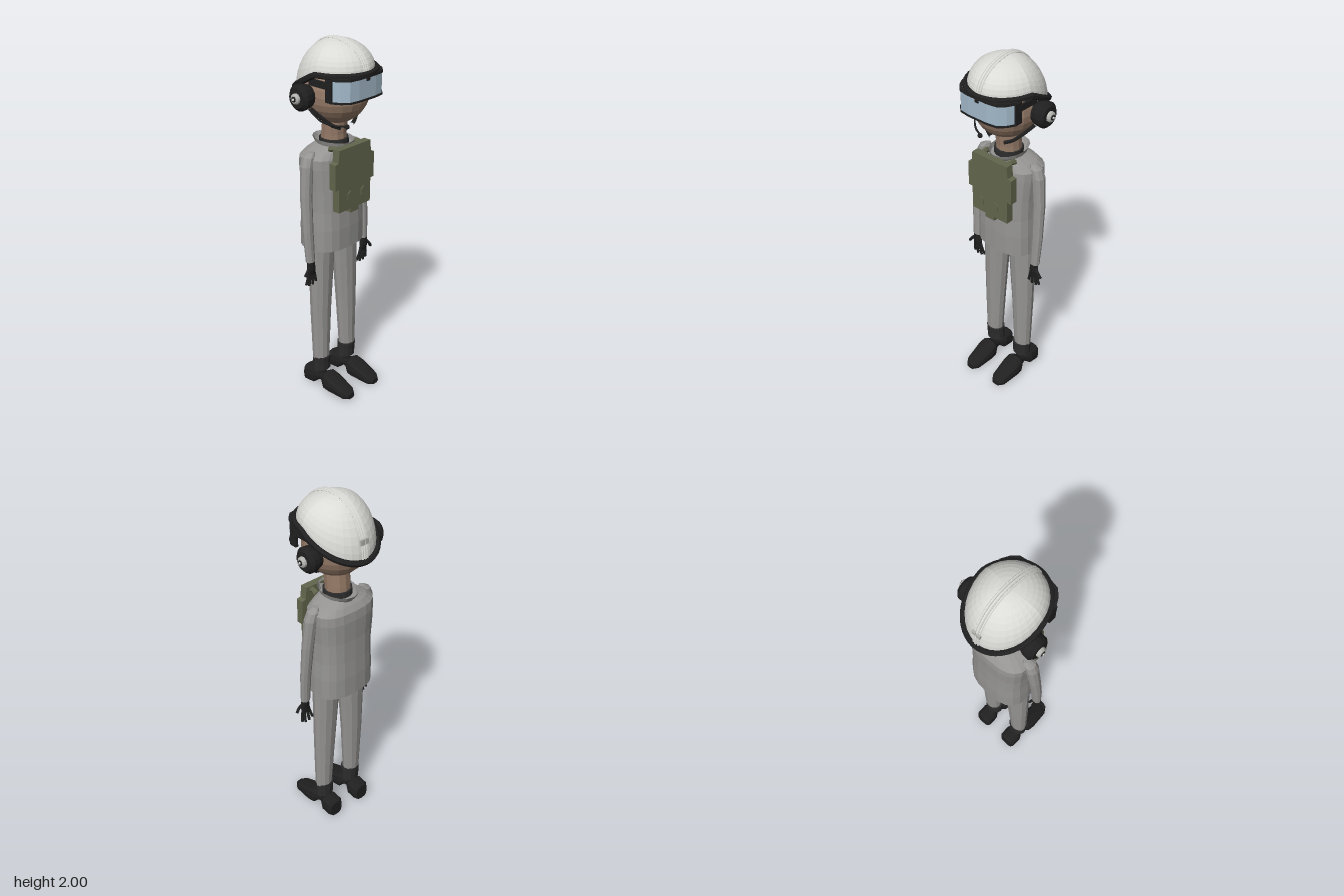
import * as THREE from 'three';

const mat = (name, color, side = THREE.FrontSide) => {
  const m = new THREE.MeshStandardMaterial({ color, side });
  m.name = name;
  return m;
};

// Facet a geometry so every polygon reads as a flat panel
function facet(g) {
  const out = g.index ? g.toNonIndexed() : g;
  out.computeVertexNormals();
  return out;
}

// Skin over elliptical rings [y, cx, cz, rx, rz], lowest first
function loft(rings, { sides = 12, pow = 1, caps = true } = {}) {
  const pos = [], idx = [];
  const bend = (v) => Math.sign(v) * Math.abs(v) ** pow;
  for (const [y, cx, cz, rx, rz] of rings) {
    for (let i = 0; i < sides; i++) {
      const a = (i / sides) * Math.PI * 2;
      pos.push(cx + rx * bend(Math.cos(a)), y, cz + rz * bend(Math.sin(a)));
    }
  }
  for (let r = 0; r < rings.length - 1; r++) {
    for (let i = 0; i < sides; i++) {
      const j = (i + 1) % sides, a = r * sides + i, b = r * sides + j;
      idx.push(a, a + sides, b, b, a + sides, b + sides);
    }
  }
  if (caps) {
    const last = (rings.length - 1) * sides;
    for (let i = 1; i < sides - 1; i++) {
      idx.push(0, i, i + 1, last, last + i + 1, last + i);
    }
  }
  const g = new THREE.BufferGeometry();
  g.setAttribute('position', new THREE.Float32BufferAttribute(pos, 3));
  g.setIndex(idx);
  return facet(g);
}

const V = (p) => new THREE.Vector3(...p);
const tube = (pts, r, seg = 10, closed = false) =>
  facet(new THREE.TubeGeometry(new THREE.CatmullRomCurve3(pts.map(V), closed), seg, r, 6, closed));

// Flat outline extruded along z
function plate(outline, depth, z) {
  const s = new THREE.Shape(outline.map(([x, y]) => new THREE.Vector2(x, y)));
  return new THREE.ExtrudeGeometry(s, { depth, bevelEnabled: false }).translate(0, 0, z);
}

// Curved horizontal band following an x/z path, from y0 to y1
function band(path, thick, y0, y1) {
  const inner = path.map(([x, z]) => [x * (1 - thick * 4), z - thick]).reverse();
  return plate([...path, ...inner], y1 - y0, 0).rotateX(Math.PI / 2).translate(0, y1, 0);
}

// Helmet edge: level in front, dropping toward the nape
const rimY = (z) => (z > 0.04 ? 1.845 : 1.845 - (0.04 - z) * 0.54);
const domePoint = (a, e, grow = 0) => {
  const x = (0.185 + grow) * Math.sin(a), z = (0.208 + grow) * Math.cos(a), y = rimY(z);
  return [x * Math.cos(e), y + (1.99 + grow - y) * Math.sin(e), z * Math.cos(e)];
};

function dome() {
  const n = 32, rows = 10, pos = [], idx = [];
  for (let r = 0; r <= rows; r++) {
    for (let i = 0; i < n; i++) pos.push(...domePoint((i / n) * Math.PI * 2, (r / rows) * Math.PI / 2));
  }
  for (let r = 0; r < rows; r++) {
    for (let i = 0; i < n; i++) {
      const j = (i + 1) % n, a = r * n + i, b = r * n + j;
      idx.push(a, b, b + n);
      if (r < rows - 1) idx.push(a, b + n, a + n);
    }
  }
  const g = new THREE.BufferGeometry();
  g.setAttribute('position', new THREE.Float32BufferAttribute(pos, 3));
  g.setIndex(idx);
  return facet(g);
}

export function createModel() {
  const model = new THREE.Group();
  const suit = mat('suit grey', 0x959492, THREE.DoubleSide);
  const shell = mat('helmet white', 0xdadad6, THREE.DoubleSide);
  const black = mat('black rubber', 0x202020);
  const cuff = mat('dark cuff', 0x2c2c2c);
  const skin = mat('skin', 0x957a67);
  const olive = mat('vest olive', 0x62664c);
  const glass = mat('visor blue', 0xa3b9c9);
  const metal = mat('hub grey', 0xb4b4b0);
  const add = (name, geo, m, parent = model) => {
    const mesh = new THREE.Mesh(geo, m);
    mesh.name = name;
    parent.add(mesh);
    return mesh;
  };

  // Jacket, collar and neck
  add('jacket', loft([
    [0.88, 0, -0.025, 0.175, 0.13], [1.0, 0, -0.025, 0.175, 0.13], [1.1, 0, -0.025, 0.17, 0.125],
    [1.22, 0, -0.025, 0.172, 0.122], [1.34, 0, -0.03, 0.182, 0.12], [1.39, 0, -0.03, 0.182, 0.115],
    [1.42, 0, -0.025, 0.145, 0.1], [1.445, 0, -0.015, 0.085, 0.085],
  ], { sides: 20, pow: 0.75 }), suit);
  add('collar', loft([[1.425, 0, -0.012, 0.075, 0.092], [1.45, 0, -0.012, 0.086, 0.112],
    [1.47, 0, -0.014, 0.092, 0.122]], { sides: 16, caps: false }), suit);
  add('undershirtNeck', loft([[1.42, 0, -0.01, 0.076, 0.08], [1.475, 0, -0.01, 0.076, 0.076]], { sides: 14 }), cuff);
  add('neck', loft([[1.42, 0, -0.012, 0.07, 0.068], [1.5, 0, -0.01, 0.068, 0.066],
    [1.6, 0, 0, 0.068, 0.066]]), skin);

  // Head and helmet
  add('head', facet(new THREE.SphereGeometry(1, 20, 14).scale(0.168, 0.165, 0.172).translate(0, 1.722, 0.006)), skin);
  add('helmetShell', dome(), shell);
  const rim = [];
  for (let i = 0; i < 32; i++) {
    const a = (i / 32) * Math.PI * 2, z = 0.215 * Math.cos(a);
    rim.push([0.19 * Math.sin(a), rimY(z), z]);
  }
  add('helmetRim', tube(rim, 0.016, 48, true), black);

  // Raised ridge strips running over the crown
  for (const x of [-0.014, 0, 0.014]) {
    const pts = [];
    for (let i = 0; i <= 16; i++) {
      const t = (i / 16) * Math.PI;
      const p = t <= Math.PI / 2 ? domePoint(0, t) : domePoint(Math.PI, Math.PI - t);
      pts.push([x, p[1], p[2]]);
    }
    add('crownRidge', tube(pts, x ? 0.006 : 0.008, 28), shell);
  }
  for (const x of [-0.014, 0.014]) {
    add('rearClip', new THREE.BoxGeometry(0.022, 0.03, 0.012).translate(x, 1.81, -0.2), metal);
  }

  // Visor with dark edging and end pieces
  const half = [[0.172, 0.13], [0.148, 0.175], [0.115, 0.207], [0.06, 0.216]];
  const path = [...half, ...half.map(([x, z]) => [-x, z]).reverse()];
  add('visorGlass', band(path, 0.009, 1.725, 1.83), glass);
  const wide = path.map(([x, z]) => [x * 1.02, z + 0.003]);
  add('visorTopEdge', band(wide, 0.014, 1.828, 1.842), black);
  add('visorBottomEdge', band(wide, 0.014, 1.716, 1.726), black);
  add('visorCatch', new THREE.BoxGeometry(0.022, 0.016, 0.008).translate(0, 1.822, 0.218), black);

  for (const s of [1, -1]) {
    add('visorEnd', new THREE.BoxGeometry(0.016, 0.115, 0.042).translate(s * 0.168, 1.775, 0.118), black);
    add('goggleStrap', new THREE.BoxGeometry(0.012, 0.035, 0.12).translate(s * 0.172, 1.8, 0.05), black);

    // Headset cups
    const ear = new THREE.Group();
    ear.name = 'earCup';
    ear.position.set(s * 0.16, 1.722, -0.035);
    ear.rotation.z = -s * Math.PI / 2;
    model.add(ear);
    add('cushion', loft([[0, 0, 0, 0.055, 0.055], [0.03, 0, 0, 0.066, 0.066], [0.062, 0, 0, 0.069, 0.067],
      [0.08, 0, 0, 0.052, 0.05]], { sides: 16 }), black, ear);
    add('hub', loft([[0.07, 0, 0, 0.029, 0.029], [0.092, 0, 0, 0.027, 0.027], [0.098, 0, 0, 0.02, 0.02]]), metal, ear);
    add('hubRing', loft([[0.09, 0, 0, 0.016, 0.016], [0.101, 0, 0, 0.014, 0.014]]), black, ear);
    add('hubPin', loft([[0.09, 0, 0, 0.008, 0.008], [0.105, 0, 0, 0.006, 0.006]]), shell, ear);

    // Chin strap
    add('chinStrap', tube([[s * 0.175, 1.665, -0.005], [s * 0.13, 1.61, 0.035],
      [s * 0.085, 1.567, 0.06], [s * 0.045, 1.547, 0.075]], 0.01), black);

    // Sleeves
    add('sleeve', loft([
      [0.835, s * 0.206, 0.015, 0.027, 0.022], [1.0, s * 0.21, 0.004, 0.031, 0.026],
      [1.2, s * 0.205, -0.012, 0.033, 0.031], [1.36, s * 0.19, -0.02, 0.034, 0.036],
      [1.405, s * 0.175, -0.022, 0.03, 0.033], [1.425, s * 0.155, -0.022, 0.015, 0.018],
    ], { sides: 10 }), suit);

    // Gloves with fingers and thumb
    add('glove', loft([[0.755, s * 0.203, 0.017, 0.026, 0.01], [0.79, s * 0.205, 0.02, 0.03, 0.015],
      [0.845, s * 0.206, 0.017, 0.022, 0.018]], { sides: 8 }), black);
    [[0.184, 0.163, 0.702], [0.197, 0.186, 0.69], [0.211, 0.213, 0.69], [0.224, 0.234, 0.702]].forEach(([a, b, y]) =>
      add('finger', tube([[s * a, 0.775, 0.018], [s * (a + b) / 2, 0.735, 0.016], [s * b, y, 0.01]], 0.0075, 4), black));
    add('thumb', tube([[s * 0.222, 0.81, 0.022], [s * 0.24, 0.79, 0.028], [s * 0.258, 0.765, 0.026]], 0.0085, 4), black);

    // Trousers, boot cuffs and boots
    const x = s * 0.1;
    add('trouserLeg', loft([[0.19, s * 0.105, -0.01, 0.05, 0.043], [0.5, s * 0.1, -0.015, 0.064, 0.052],
      [0.75, s * 0.092, -0.017, 0.076, 0.058], [0.92, s * 0.087, -0.018, 0.083, 0.062]], { sides: 12 }), suit);
    add('bootCuff', loft([[0.115, x, -0.01, 0.054, 0.045], [0.16, x, -0.01, 0.054, 0.047],
      [0.2, x, -0.008, 0.055, 0.05]], { sides: 12 }), cuff);
    add('ankle', loft([[0.05, x, -0.008, 0.022, 0.018], [0.13, x, -0.008, 0.03, 0.025]], { sides: 8 }), black);
    // Rings run heel to toe: z, low y, high y, half width
    const boot = [[-0.115, 0, 0.095, 0.04], [-0.1, 0, 0.105, 0.052], [-0.045, 0.005, 0.115, 0.052],
      [-0.01, 0.04, 0.085, 0.03], [0.015, 0.035, 0.09, 0.034], [0.045, 0, 0.11, 0.053],
      [0.08, 0, 0.098, 0.057], [0.19, 0, 0.055, 0.045], [0.218, 0.006, 0.038, 0.024]];
    add('boot', loft(boot.map(([z, lo, hi, w]) => [z, x, -(lo + hi) / 2, w, (hi - lo) / 2]),
      { sides: 12, pow: 0.7 }).rotateX(Math.PI / 2), black);

    // Vest fastenings and shoulder straps
    const hex = [];
    for (let i = 0; i < 6; i++) {
      const a = (i * Math.PI) / 3 + Math.PI / 6;
      hex.push([s * 0.05 + 0.024 * Math.cos(a), 1.2 + 0.032 * Math.sin(a)]);
    }
    add('vestButton', plate(hex, 0.005, 0.152), olive);
    add('buttonStud', new THREE.BoxGeometry(0.012, 0.012, 0.02).translate(s * 0.05, 1.2, 0.145), olive);
    add('vestStrap', tube([[s * 0.08, 1.42, 0.12], [s * 0.085, 1.447, 0.085], [s * 0.09, 1.44, 0.045]], 0.014, 6), olive);
  }

  // Microphone boom on one side
  add('micBoom', tube([[-0.19, 1.665, 0], [-0.165, 1.61, 0.06], [-0.115, 1.585, 0.11], [-0.06, 1.575, 0.135]], 0.005, 14), black);
  add('microphone', facet(new THREE.SphereGeometry(0.013, 8, 6).translate(-0.06, 1.573, 0.137)), black);

  // Chest vest
  const edge = [[0.115, 1.46], [0.122, 1.395], [0.145, 1.39], [0.145, 1.25], [0.12, 1.25],
    [0.118, 1.12], [0.03, 1.12], [0.03, 1.097]];
  add('vest', plate([...edge, ...edge.map(([x, y]) => [-x, y]).reverse()], 0.042, 0.096), olive);

  return model;
}
